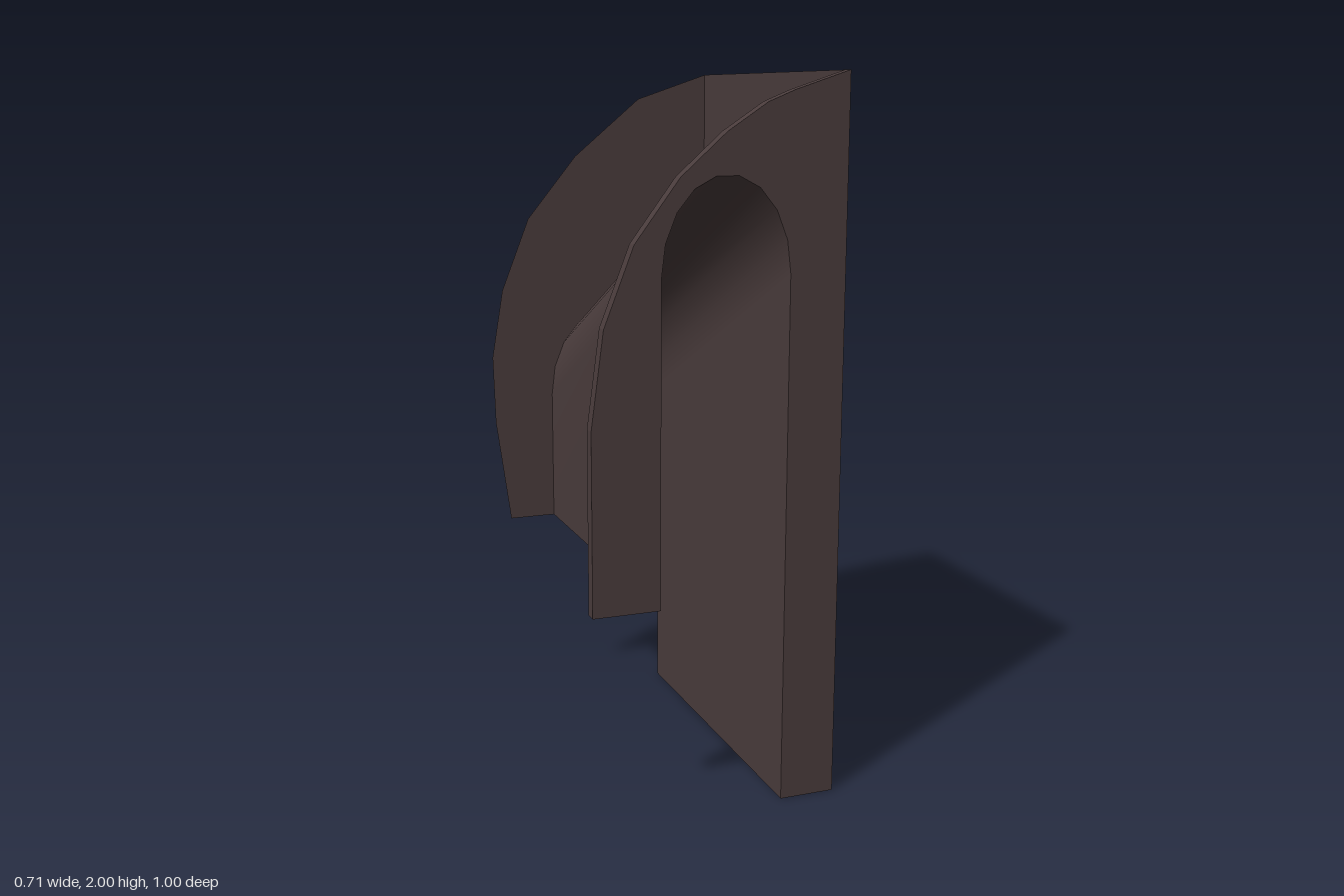
import * as THREE from 'three';

const stone = new THREE.MeshStandardMaterial({ color: 0x4a3c3c, side: THREE.DoubleSide });
stone.name = 'dark stone';

// Half-ellipse from left springer to right springer
function arch(cx, springY, rx, ry, segments) {
  return Array.from({ length: segments + 1 }, (_, i) => {
    const a = Math.PI * (1 - i / segments);
    return [cx + rx * Math.cos(a), springY + ry * Math.sin(a)];
  });
}

function plate(points) {
  return new THREE.ShapeGeometry(new THREE.Shape(points.map(([x, y]) => new THREE.Vector2(x, y))));
}

// Smooth strip between two 3D paths with equal point counts
function loft(from, to) {
  const index = [];
  for (let i = 0; i < from.length - 1; i++) {
    const a = 2 * i;
    index.push(a, a + 2, a + 1, a + 1, a + 2, a + 3);
  }
  const g = new THREE.BufferGeometry();
  const pos = from.flatMap((p, i) => [...p, ...to[i]]);
  g.setAttribute('position', new THREE.Float32BufferAttribute(pos, 3));
  g.setIndex(index);
  g.computeVertexNormals();
  return g;
}

export function createModel() {
  const group = new THREE.Group();
  const add = (name, geometry) => {
    const mesh = new THREE.Mesh(geometry, stone);
    mesh.name = name;
    group.add(mesh);
    return mesh;
  };

  // Passage opening: short left leg, full-height right leg
  const opening = (springY) => [[-0.165, 0.6], ...arch(0.015, springY, 0.18, 0.26, 9), [0.195, 0]];
  const frontOpening = opening(1.48);
  const backOpening = opening(1.0);

  // Curved outer outlines, from the top corner down to the left foot
  const frontCurve = [[0.355, 2], [0.2, 1.95], [0.125, 1.92], [0.013, 1.847], [-0.114, 1.735],
    [-0.238, 1.57], [-0.32, 1.36], [-0.355, 1.1], [-0.355, 0.6]];
  const backCurve = [[0.355, 2], [0.13, 1.925], [-0.08, 1.75], [-0.235, 1.56],
    [-0.322, 1.34], [-0.358, 1.13], [-0.352, 0.92], [-0.308, 0.6]];

  // End walls
  add('frontWall', plate([...frontOpening, [0.355, 0], ...frontCurve])).position.z = 0.5;
  const back = plate([...backOpening, [0.355, 0], ...backCurve]);
  add('backWall', back).position.z = -0.5;

  // Rim along the front wall, one flat facet per segment
  const at = (points, z) => points.map(([x, y]) => [x, y, z]);
  add('frontRim', loft(at(frontCurve, 0.5), at(frontCurve, 0.465)).toNonIndexed()).geometry.computeVertexNormals();

  // Vaulted passage sloping down towards the back
  add('vaultedPassage', loft(at(frontOpening, 0.5), at(backOpening, -0.5)));

  // Side wall with an arched niche
  const niche = [[-0.33, 0], ...arch(0, 0.86, 0.33, 0.33, 11), [0.33, 0]];
  const side = plate([...niche, [0.5, 0], [0.5, 2], [-0.5, 2], [-0.5, 0]]).rotateY(Math.PI / 2);
  add('sideWall', side).position.x = 0.355;
  add('nichePanel', plate(niche).rotateY(Math.PI / 2)).position.x = 0.265;
  const sideways = (x) => niche.map(([z, y]) => [x, y, -z]);
  add('nicheReveal', loft(sideways(0.355), sideways(0.265)));

  return group;
}
